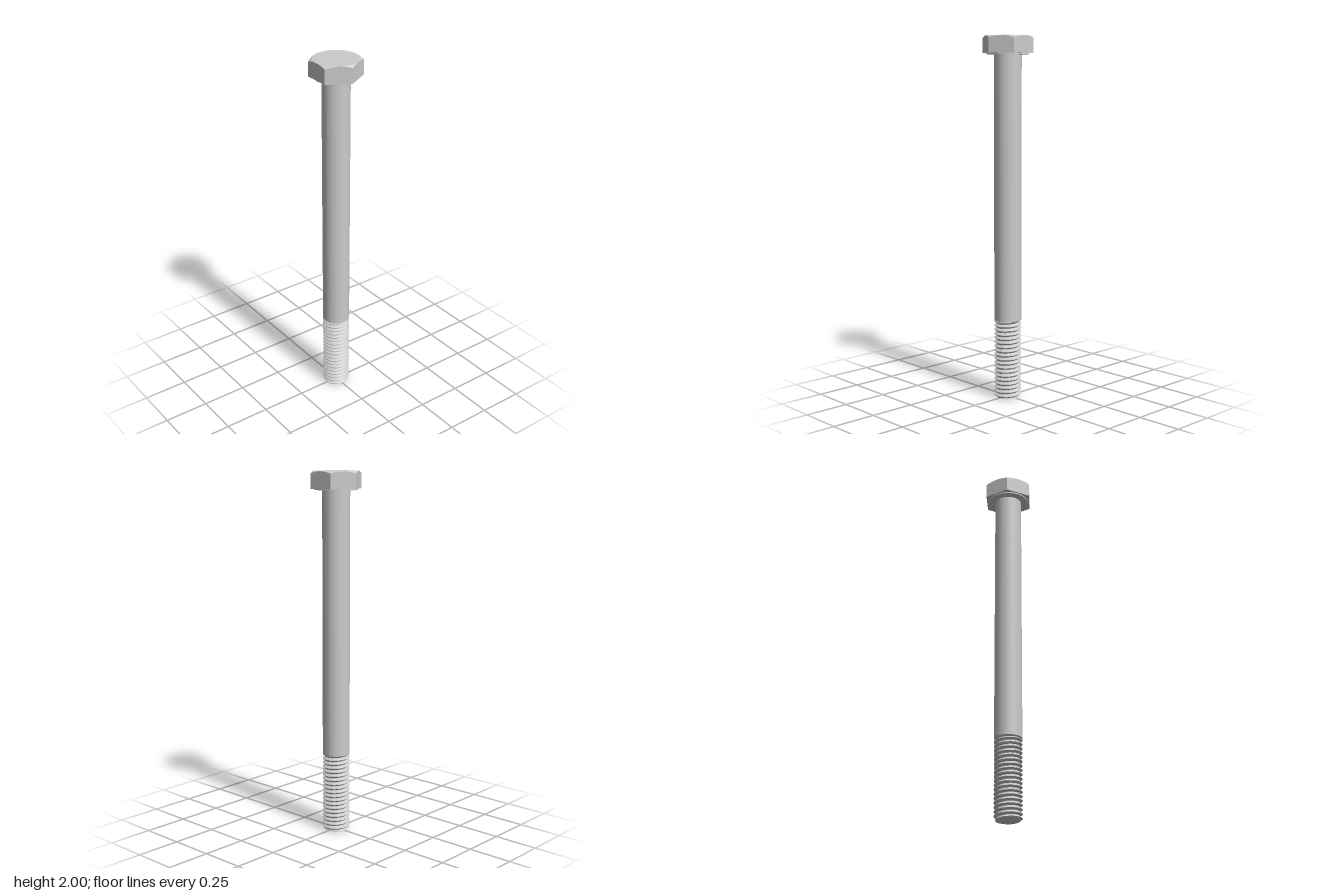
import * as THREE from 'three';
import { toCreasedNormals } from 'three/addons/utils/BufferGeometryUtils.js';

const SHANK_R = 0.075, ROOT_R = 0.062;
const THREAD_TOP = 0.44, PITCH = 0.0234;
const HEAD_BOTTOM = 1.907, HEAD_TOP = 2, APOTHEM = 0.123;

// Skin wrapped around the y axis; rows run bottom to top, point(row, angle) gives [radius, y]
function wrap(rows, segments, point, crease) {
  const at = (j, i) => {
    const a = (i / segments) * Math.PI * 2;
    const [r, y] = point(j, a);
    return new THREE.Vector3(r * Math.cos(a), y, -r * Math.sin(a));
  };
  const positions = [];
  const tri = new THREE.Triangle();
  const add = (a, b, c) => {
    if (tri.set(a, b, c).getArea() > 1e-10) {
      for (const v of [a, b, c]) positions.push(v.x, v.y, v.z);
    }
  };
  for (let j = 0; j < rows - 1; j++) {
    for (let i = 0; i < segments; i++) {
      const a = at(j, i), b = at(j, i + 1), c = at(j + 1, i + 1), d = at(j + 1, i);
      add(a, b, c);
      add(a, c, d);
    }
  }
  const geometry = new THREE.BufferGeometry();
  geometry.setAttribute('position', new THREE.Float32BufferAttribute(positions, 3));
  return toCreasedNormals(geometry, crease);
}

// Hexagonal head: its top corners are cut by a shallow cone
function headGeometry() {
  const topR = APOTHEM - 0.001;
  return wrap(5, 96, (j, a) => {
    const sector = Math.PI / 3;
    const r = APOTHEM / Math.cos((a % sector) - sector / 2);
    return [
      [0, HEAD_BOTTOM],
      [r, HEAD_BOTTOM],
      [r, HEAD_TOP - (r - topR) * 0.62],
      [topR, HEAD_TOP],
      [0, HEAD_TOP],
    ][j];
  }, 0.25);
}

// Right-hand V thread with narrow flats at crest and root, and a chamfered tip
function threadGeometry() {
  const phases = [0, 0.12, 0.5, 0.62];
  const radiusAt = (phase) => {
    const p = phase - Math.floor(phase);
    let k = 0;
    if (p < 0.12) k = 0;
    else if (p < 0.5) k = (p - 0.12) / 0.38;
    else if (p < 0.62) k = 1;
    else k = (1 - p) / 0.38;
    return ROOT_R + (SHANK_R - ROOT_R) * k;
  };
  const turns = Math.ceil(THREAD_TOP / PITCH) + 1;
  const rows = turns * phases.length + 2;
  return wrap(rows, 48, (j, a) => {
    if (j === 0) return [0, 0];
    const n = j - 1;
    const turn = a / (Math.PI * 2);
    const helixY = PITCH * (Math.floor(n / 4) - 1 + phases[n % 4] + turn);
    const y = THREE.MathUtils.clamp(helixY, 0, THREAD_TOP);
    return [Math.min(radiusAt(y / PITCH - turn), 0.066 + y), y];
  }, 0.5);
}

function latheGeometry(profile, segments) {
  const points = profile.map(([r, y]) => new THREE.Vector2(r, y));
  return toCreasedNormals(new THREE.LatheGeometry(points, segments), 0.4);
}

export function createModel() {
  const group = new THREE.Group();
  group.name = 'hexBolt';
  const material = new THREE.MeshStandardMaterial({ color: 0xcccccc });
  const addPart = (name, geometry) => {
    const mesh = new THREE.Mesh(geometry, material);
    mesh.name = name;
    group.add(mesh);
  };

  addPart('head', headGeometry());

  // Thin round bearing face below the head
  addPart('washerFace', latheGeometry(
    [[SHANK_R, 1.9], [0.115, 1.9], [0.115, HEAD_BOTTOM]], 64));

  // Plain shank, bevelled where the thread begins
  addPart('shank', latheGeometry(
    [[0, 0.432], [ROOT_R, 0.432], [SHANK_R, 0.442], [SHANK_R, 1.903]], 64));

  addPart('thread', threadGeometry());
  return group;
}
